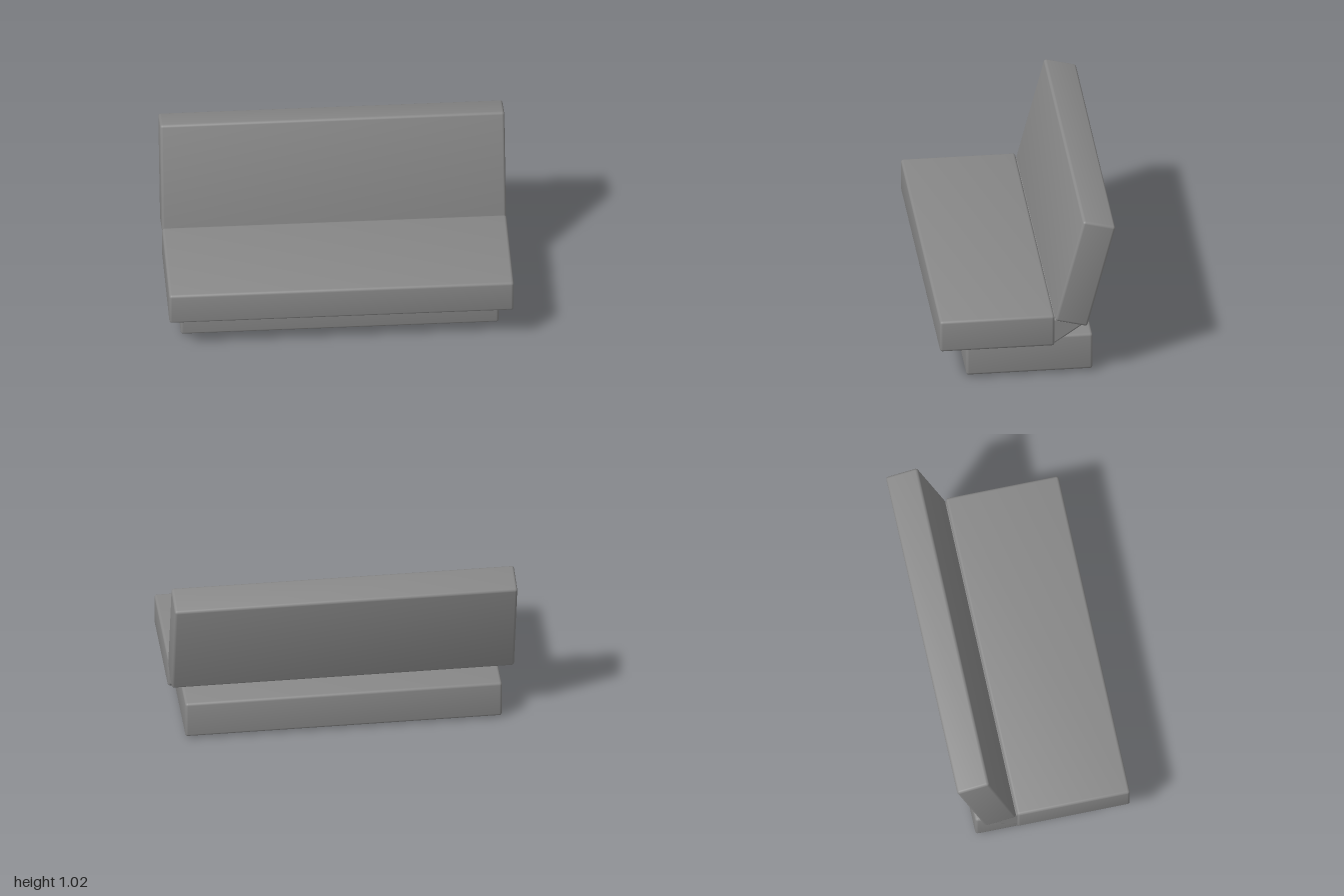
import * as THREE from 'three';
import { RoundedBoxGeometry } from 'three/addons/geometries/RoundedBoxGeometry.js';

const material = new THREE.MeshStandardMaterial({ color: 0x888888 });

// Upholstered block whose normals fan out towards the corners for a soft, padded look
function slab(w, h, d) {
  const geometry = new RoundedBoxGeometry(w, h, d, 4, 0.016);
  const { position, normal } = geometry.attributes;
  const p = new THREE.Vector3();
  const n = new THREE.Vector3();
  const softness = 0.12;
  for (let i = 0; i < position.count; i++) {
    p.fromBufferAttribute(position, i);
    n.fromBufferAttribute(normal, i);
    n.x += softness * Math.sign(p.x);
    n.y += softness * Math.sign(p.y);
    n.z += softness * Math.sign(p.z);
    n.normalize();
    normal.setXYZ(i, n.x, n.y, n.z);
  }
  return geometry;
}

export function createModel() {
  const sofa = new THREE.Group();
  sofa.name = 'sofaBed';

  const add = (name, geometry, x, y, z) => {
    const mesh = new THREE.Mesh(geometry, material);
    mesh.name = name;
    mesh.position.set(x, y, z);
    sofa.add(mesh);
    return mesh;
  };

  // Storage base and the overhanging seat cushion
  add('base', slab(1.848, 0.23, 0.737), 0, 0.129, -0.0175);
  add('seat', slab(2, 0.198, 0.668), 0, 0.317, 0.179);

  // Backrest leaning backwards
  const back = add('backrest', slab(2, 0.667, 0.195), 0, 0.68, -0.335);
  back.rotation.x = -0.252;

  // Triangular hinge bolster joining the seat and backrest; profile is (-z, y)
  const profile = new THREE.Shape([
    new THREE.Vector2(0.135, 0.219),
    new THREE.Vector2(0.15, 0.222),
    new THREE.Vector2(0.315, 0.335),
    new THREE.Vector2(0.325, 0.352),
    new THREE.Vector2(0.165, 0.393),
    new THREE.Vector2(0.135, 0.393),
  ]);
  const bolster = new THREE.ExtrudeGeometry(profile, {
    depth: 1.94, bevelThickness: 0.02, bevelSize: 0.014, bevelOffset: -0.014, bevelSegments: 4,
  });
  bolster.translate(0, 0, -0.97).rotateY(Math.PI / 2);
  add('hingeBolster', bolster, 0, 0, 0);

  // Four small square feet
  for (const x of [-0.83, 0.83]) {
    for (const z of [0.28, -0.317]) {
      add('foot', new THREE.BoxGeometry(0.06, 0.03, 0.06), x, 0.015, z);
    }
  }
  return sofa;
}
